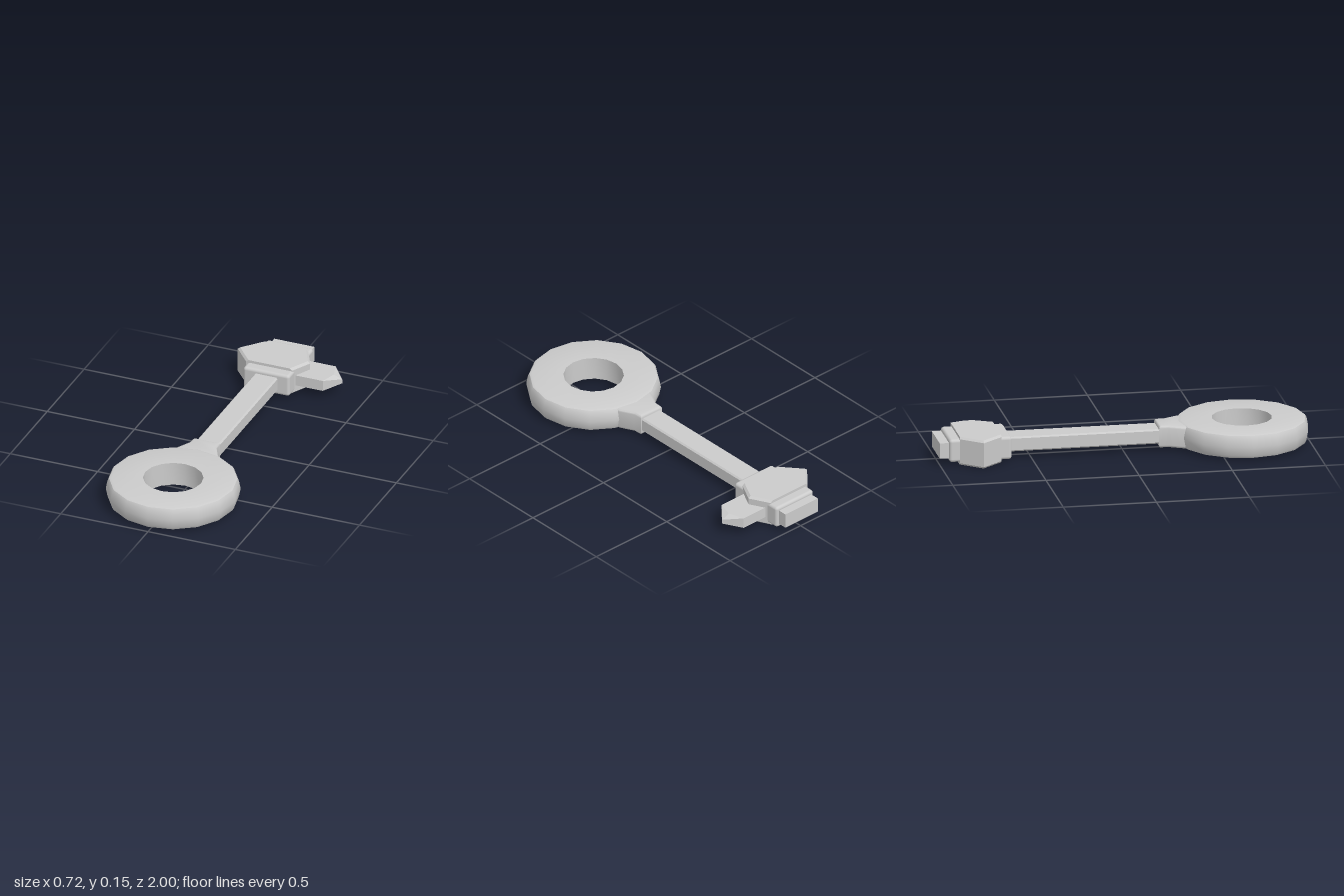
import * as THREE from 'three';
import { toCreasedNormals } from 'three/addons/utils/BufferGeometryUtils.js';
import { RoundedBoxGeometry } from 'three/addons/geometries/RoundedBoxGeometry.js';
import { ConvexGeometry } from 'three/addons/geometries/ConvexGeometry.js';

const MID = 0.077; // height of the symmetry plane
const AXIS = -0.007; // x of the handle axis

export function createModel() {
  const group = new THREE.Group();
  const material = new THREE.MeshStandardMaterial({ color: 0xcccccc });

  const add = (name, geometry, x = 0, y = 0, z = 0) => {
    const mesh = new THREE.Mesh(geometry, material);
    mesh.name = name;
    mesh.position.set(x, y, z);
    group.add(mesh);
  };

  // Horizontal slab from an [x, z] outline, centred on y = 0, with bevelled rims
  const slab = (outline, height, bevel, steps) => {
    const shape = new THREE.Shape(outline.map(([x, z]) => new THREE.Vector2(x, -z)));
    const geometry = new THREE.ExtrudeGeometry(shape, {
      depth: height - 2 * bevel, bevelThickness: bevel, bevelSize: bevel,
      bevelOffset: -bevel, bevelSegments: steps,
    });
    geometry.translate(0, 0, bevel - height / 2).rotateX(-Math.PI / 2);
    return toCreasedNormals(geometry, 0.6);
  };

  // Convex solid from [x, halfHeight, z] points, mirrored above and below
  const mirroredHull = (points) => new ConvexGeometry(
    points.flatMap(([x, h, z]) => [new THREE.Vector3(x, h, z), new THREE.Vector3(x, -h, z)]));

  // Ring handle: 16 sides, softly bulging rim
  const rim = [[0.16, -0.065], [0.325, -0.065], [0.339, -0.06], [0.347, -0.046], [0.356, 0]];
  const profile = [...rim, ...rim.slice(0, -1).reverse().map(([r, y]) => [r, -y]), rim[0]];
  const ring = new THREE.LatheGeometry(profile.map(([r, y]) => new THREE.Vector2(r, y)), 16);
  add('ringHandle', toCreasedNormals(ring, 0.7), AXIS, MID, 0.642);

  // Neck flaring from the shaft into the ring
  const side = [[0.075, 0.185], [0.078, 0.235], [0.118, 0.312], [0.118, 0.4]];
  const neck = [...side, ...side.slice().reverse().map(([x, z]) => [-x, z])];
  add('neck', slab(neck, 0.12, 0.014, 3), AXIS, MID, 0);

  // Shaft with narrow chamfers along its length
  const section = new THREE.Shape();
  const [w, h, c] = [0.066, 0.04, 0.008];
  section.setFromPoints([[w - c, -h], [w, c - h], [w, h - c], [w - c, h],
    [c - w, h], [-w, h - c], [-w, c - h], [c - w, -h]].map(([x, y]) => new THREE.Vector2(x, y)));
  add('shaft', new THREE.ExtrudeGeometry(section, { depth: 0.88, bevelEnabled: false }), AXIS, MID, -0.66);

  // Head block
  add('headBlock', new RoundedBoxGeometry(0.265, 0.124, 0.335, 3, 0.016), AXIS, MID, -0.783);

  // Six-sided plate around the block, chamfered on its slanted flanks
  const plate = [];
  for (const [h, inset] of [[0.066, 0], [0.077, 0.014]]) {
    plate.push([-0.24 + inset, h, 0], [0.175 - inset, h, 0]);
    for (const z of [-0.111, 0.111]) plate.push([-0.145 + inset, h, z], [0.118 - inset, h, z]);
  }
  add('headPlate', mirroredHull(plate), 0, MID, -0.784);

  // End cap
  add('endCap', new THREE.BoxGeometry(0.23, 0.084, 0.1), AXIS, MID, -0.95);

  // Side spike with a bevelled point
  add('sideSpike', mirroredHull([
    [0.05, 0.03, -0.087], [0.05, 0.03, 0.087], [0.285, 0.03, -0.087], [0.285, 0.03, 0.087],
    [0.312, 0.03, 0], [0.36, 0.012, 0],
  ]), 0, MID, -0.781);

  return group;
}
